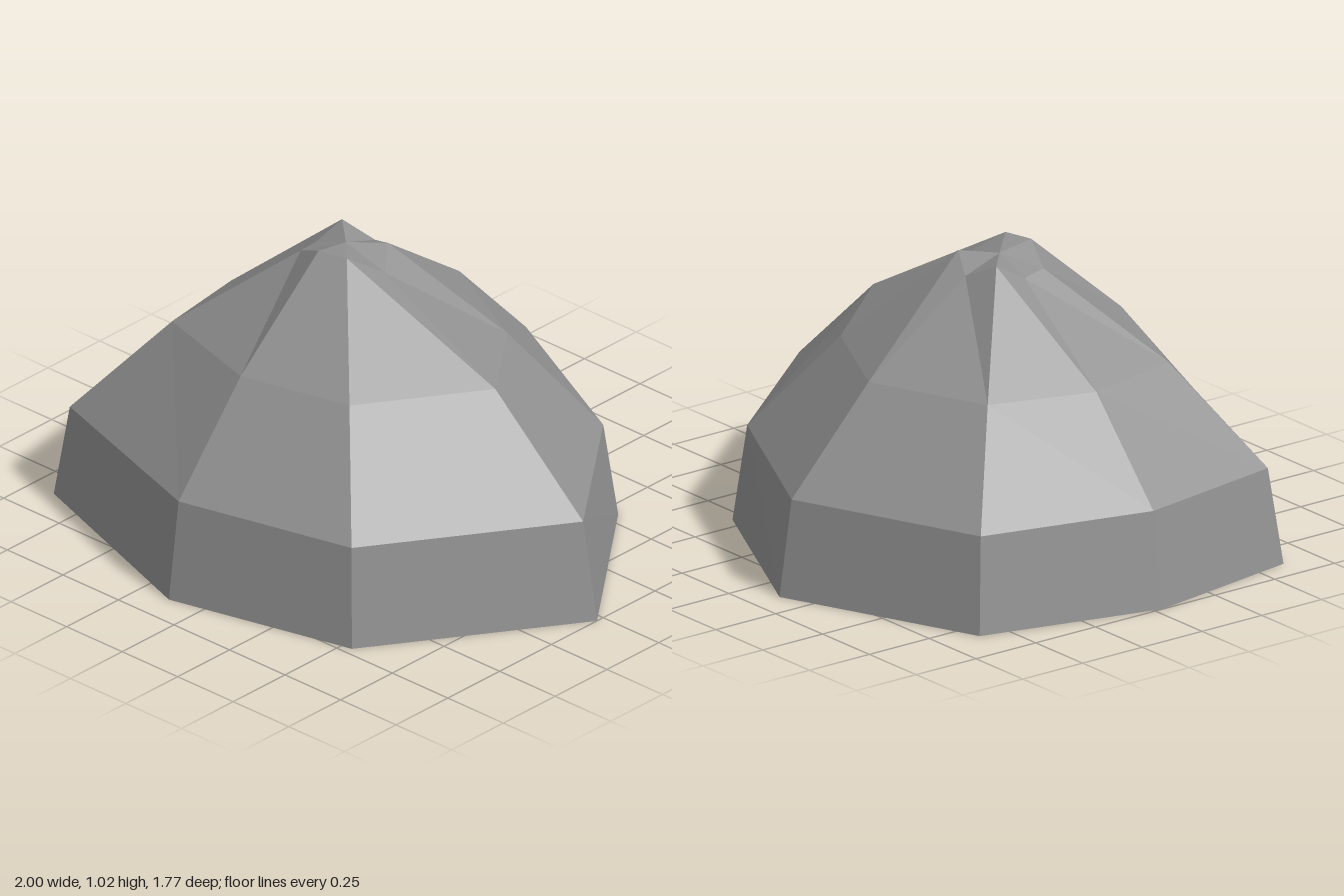
import * as THREE from 'three';

// Ground outline as offsets from the rock's axis, clockwise seen from above
const AXIS = [-0.13, 0.03];
const OUTLINE = [
  [1.13, 0], [0.67, 0.69], [0, 0.855], [-0.77, 0.585],
  [-0.87, 0], [-0.705, -0.635], [0, -0.92], [0.685, -0.58],
];

// Each ring shrinks the outline and lifts every corner to its own height
const RINGS = [
  { scale: 1, heights: [0, 0, 0, 0, 0, 0, 0, 0] },
  { scale: 0.945, heights: [0.35, 0.35, 0.35, 0.33, 0.33, 0.33, 0.33, 0.335] },
  { scale: 0.595, heights: [0.7, 0.7, 0.7, 0.67, 0.66, 0.67, 0.67, 0.67] },
  { scale: 0.155, heights: [0.95, 1.02, 1.02, 0.96, 0.95, 1.005, 0.95, 1.0] },
];
const PEAK = [AXIS[0], 1.0, AXIS[1]];

function rockGeometry() {
  const n = OUTLINE.length;
  const points = RINGS.flatMap(({ scale, heights }) =>
    OUTLINE.map(([x, z], i) => [AXIS[0] + x * scale, heights[i], AXIS[1] + z * scale]));
  points.push(PEAK);

  const index = [];
  for (let i = 0; i < n; i++) {
    const j = (i + 1) % n;
    // Side bands
    for (let r = 0; r < RINGS.length - 1; r++) {
      const low = r * n, high = low + n;
      index.push(low + i, high + i, high + j, low + i, high + j, low + j);
    }
    // Jagged cap
    const top = (RINGS.length - 1) * n;
    index.push(top + i, points.length - 1, top + j);
  }

  const geometry = new THREE.BufferGeometry();
  geometry.setAttribute('position', new THREE.Float32BufferAttribute(points.flat(), 3));
  geometry.setIndex(index);
  const faceted = geometry.toNonIndexed();
  faceted.computeVertexNormals();
  return faceted;
}

export function createModel() {
  const group = new THREE.Group();
  group.name = 'rock';

  // Hollow shell, open underneath
  const stoneGrey = new THREE.MeshStandardMaterial({
    color: 0x919191, flatShading: true, side: THREE.DoubleSide,
  });
  stoneGrey.name = 'stone grey';

  const shell = new THREE.Mesh(rockGeometry(), stoneGrey);
  shell.name = 'rockShell';
  group.add(shell);
  return group;
}
